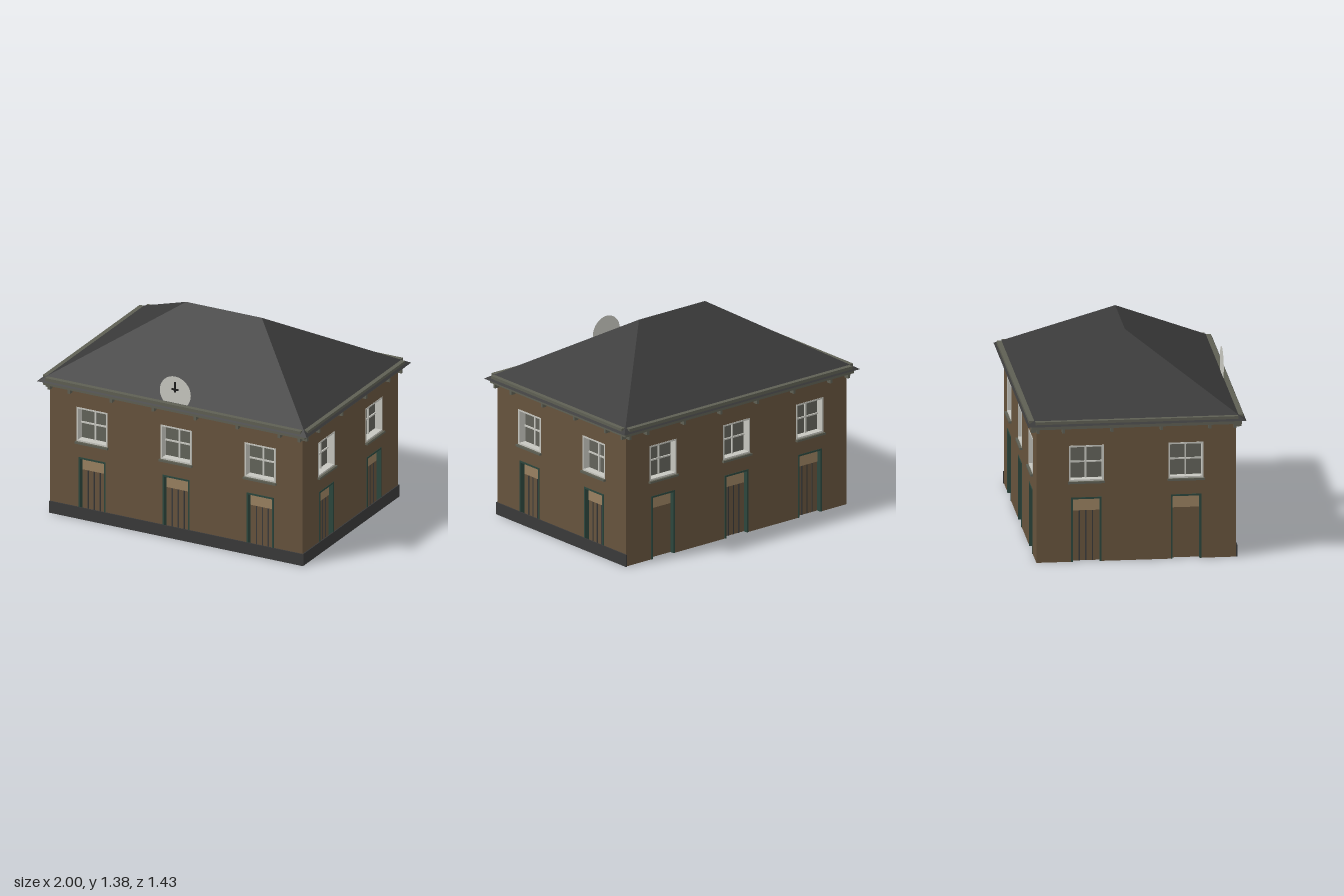
import * as THREE from 'three';
import { ConvexGeometry } from 'three/addons/geometries/ConvexGeometry.js';

const mat = (name, color, extra = {}) => {
  const m = new THREE.MeshStandardMaterial({ color, ...extra });
  m.name = name;
  return m;
};
const M = {
  brick: mat('brown brick', 0x66533d),
  slate: mat('dark slate', 0x393939),
  stone: mat('grey green stone', 0x5e5f53),
  glass: mat('window glass', 0x62635a),
  white: mat('off white paint', 0xc6c6bf, { side: THREE.DoubleSide }),
  green: mat('dark green paint', 0x2c463d),
  tan: mat('tan transom', 0x988060),
  black: mat('black', 0x1c1c1c),
};

const HX = 0.935, HZ = 0.655, WALL = 0.08, WALL_TOP = 0.935;
const DOOR = { w: 0.2, h: 0.436, frame: 0.012 };
const WIN = { w: 0.23, y0: 0.546, y1: 0.788, frame: 0.011 };

// box given by its minimum and maximum corners
function box(parent, name, material, x0, x1, y0, y1, z0, z1) {
  const mesh = new THREE.Mesh(new THREE.BoxGeometry(x1 - x0, y1 - y0, z1 - z0), material);
  mesh.position.set((x0 + x1) / 2, (y0 + y1) / 2, (z0 + z1) / 2);
  mesh.name = name;
  parent.add(mesh);
  return mesh;
}

// wall slab with door notches and window holes; outer surface at z = 0
function wall(half, centres) {
  const s = new THREE.Shape();
  s.moveTo(-half, 0);
  for (const c of centres) {
    s.lineTo(c - DOOR.w / 2, 0);
    s.lineTo(c - DOOR.w / 2, DOOR.h);
    s.lineTo(c + DOOR.w / 2, DOOR.h);
    s.lineTo(c + DOOR.w / 2, 0);
  }
  s.lineTo(half, 0);
  s.lineTo(half, WALL_TOP);
  s.lineTo(-half, WALL_TOP);
  s.closePath();
  for (const c of centres) {
    const a = c - WIN.w / 2, b = c + WIN.w / 2, h = new THREE.Path();
    h.moveTo(a, WIN.y0);
    h.lineTo(a, WIN.y1);
    h.lineTo(b, WIN.y1);
    h.lineTo(b, WIN.y0);
    h.closePath();
    s.holes.push(h);
  }
  const g = new THREE.ExtrudeGeometry(s, { depth: WALL, bevelEnabled: false });
  g.translate(0, 0, -WALL);
  const mesh = new THREE.Mesh(g, M.brick);
  mesh.name = 'wall';
  return mesh;
}

function windowUnit(x) {
  const g = new THREE.Group(), h = WIN.w / 2, f = WIN.frame, { y0, y1 } = WIN;
  const ym = (y0 + y1) / 2;
  g.name = 'window';
  g.position.x = x;
  box(g, 'glass', M.glass, -h, h, y0, y1, -0.06, -0.05);
  for (const s of [-1, 1]) {
    box(g, 'windowJamb', M.white, s * h - (s > 0 ? f : 0), s * h + (s < 0 ? f : 0), y0, y1, -0.052, 0.002);
  }
  box(g, 'windowHead', M.white, -h + f, h - f, y1 - f, y1, -0.052, 0.002);
  box(g, 'windowFoot', M.white, -h + f, h - f, y0, y0 + f, -0.052, 0.002);
  box(g, 'verticalBar', M.white, -0.005, 0.005, y0 + f, y1 - f, -0.052, -0.04);
  box(g, 'horizontalBar', M.white, -h + f, h - f, ym - 0.005, ym + 0.005, -0.052, -0.041);
  box(g, 'sill', M.stone, -h - 0.006, h + 0.006, y0 - 0.014, y0, -0.01, 0.018);
  return g;
}

function doorUnit(x, planked) {
  const g = new THREE.Group(), h = DOOR.w / 2, f = DOOR.frame, i = h - f;
  g.name = 'door';
  g.position.x = x;
  for (const s of [-1, 1]) {
    box(g, 'doorJamb', M.green, s * h - (s > 0 ? f : 0), s * h + (s < 0 ? f : 0), 0, DOOR.h, -WALL, 0.003);
  }
  box(g, 'doorHead', M.green, -i, i, DOOR.h - f, DOOR.h, -WALL, 0.003);
  box(g, 'transom', M.tan, -i, i, 0.34, DOOR.h - f, -0.06, -0.028);
  box(g, 'doorPanel', M.brick, -i, i, 0, 0.34, -0.06, -0.03);
  // dark gaps between the planks
  if (planked) {
    for (const k of [-1, 0, 1]) {
      const c = k * i / 2;
      box(g, 'plankGap', M.slate, c - 0.004, c + 0.004, 0, 0.34, -0.031, -0.027);
    }
  }
  return g;
}

// one side of the house, facing local +z
function facade({ name, half, wallHalf, dist, turn, centres, brackets, plainDoor, plinth }) {
  const outer = new THREE.Group(), g = new THREE.Group();
  outer.name = name;
  outer.rotation.y = turn;
  g.position.z = dist;
  outer.add(g);
  g.add(wall(wallHalf, centres));
  centres.forEach((c, i) => g.add(windowUnit(c), doorUnit(c, i !== plainDoor)));
  if (plinth) box(g, 'plinth', M.slate, -half - 0.002, half + 0.007, 0, 0.083, 0, 0.008);
  box(g, 'corniceBand', M.stone, -half - 0.035, half + 0.035, 0.91, 0.934, 0, 0.035);
  for (const b of brackets) {
    box(g, 'bracket', M.stone, b - 0.009, b + 0.009, 0.884, 0.911, 0, 0.035);
  }
  // gutter strip resting on the eave
  box(g, 'gutter', M.stone, -half - 0.01, half + 0.01, 0.942, 0.967, 0.015, 0.048);
  return outer;
}

export function createModel() {
  const house = new THREE.Group();
  house.name = 'house';

  const long = {
    half: HX, wallHalf: HX, dist: HZ, centres: [-0.623, 0, 0.623],
    brackets: [-0.926, -0.777, -0.466, -0.155, 0.155, 0.466, 0.777, 0.926],
  };
  const short = {
    half: HZ, wallHalf: HZ - WALL, dist: HX, centres: [-0.327, 0.327],
    brackets: [-0.646, -0.48, -0.163, 0.163, 0.48, 0.646],
  };
  house.add(
    facade({ ...long, name: 'frontSide', turn: 0, plinth: true }),
    facade({ ...long, name: 'backSide', turn: Math.PI, plainDoor: 0 }),
    facade({ ...short, name: 'leftSide', turn: Math.PI / 2, plinth: true }),
    facade({ ...short, name: 'rightSide', turn: -Math.PI / 2, plainDoor: 1 }),
  );
  box(house, 'floor', M.stone, -HX + WALL, HX - WALL, 0.004, 0.03, -HZ + WALL, HZ - WALL);

  // hipped roof
  const pts = [];
  for (const sx of [-1, 1]) {
    pts.push(new THREE.Vector3(sx * 0.28, 1.378, 0));
    for (const sz of [-1, 1]) pts.push(new THREE.Vector3(sx, 0.938, sz * 0.716));
  }
  const roof = new THREE.Mesh(new ConvexGeometry(pts), M.slate);
  roof.name = 'roof';
  house.add(roof);

  // clock standing above the front eave
  const clock = new THREE.Group();
  clock.name = 'clock';
  clock.position.set(0, 1.04, 0.668);
  const dial = new THREE.Mesh(new THREE.CircleGeometry(0.115, 32), M.white);
  dial.name = 'dial';
  clock.add(dial);
  box(clock, 'longHand', M.black, -0.006, 0.006, 0.005, 0.077, 0.001, 0.008);
  box(clock, 'shortHand', M.black, -0.025, 0.025, 0.018, 0.03, 0.001, 0.007);
  house.add(clock);

  return house;
}
